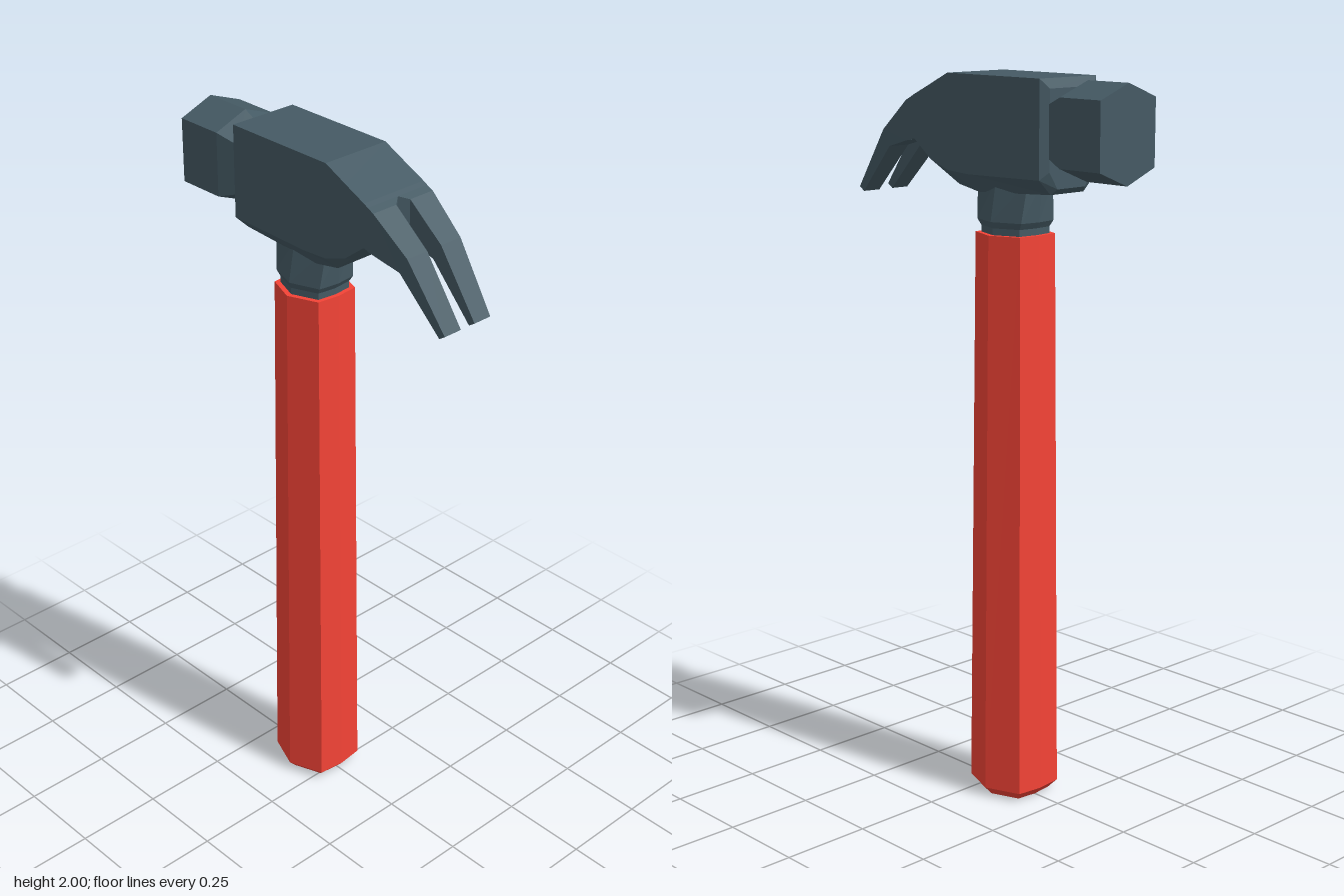
import * as THREE from 'three';

const steel = new THREE.MeshStandardMaterial({ color: 0x455a64, flatShading: true });
const red = new THREE.MeshStandardMaterial({ color: 0xf44336, flatShading: true });

// Skin a row of rings (each counterclockwise about the direction of travel) and cap both ends
function loft(rings) {
  const n = rings[0].length;
  const index = [];
  for (let r = 0; r < rings.length - 1; r++) {
    for (let i = 0; i < n; i++) {
      const a = r * n + i, b = r * n + (i + 1) % n;
      index.push(a, b, b + n, a, b + n, a + n);
    }
  }
  const last = (rings.length - 1) * n;
  for (let i = 1; i < n - 1; i++) {
    index.push(0, i + 1, i, last, last + i, last + i + 1);
  }
  const indexed = new THREE.BufferGeometry();
  indexed.setAttribute('position', new THREE.Float32BufferAttribute(rings.flat(2), 3));
  indexed.setIndex(index);
  const geometry = indexed.toNonIndexed();
  geometry.computeVertexNormals();
  return geometry;
}

// Eight-sided ring at height y, slightly boxy, centred on the handle axis
const AXIS_Z = -0.073;
function gripRing([y, rx, rz]) {
  const unit = [[1, 0], [0.66, -0.92], [0, -1], [-0.66, -0.92], [-1, 0], [-0.66, 0.92], [0, 1], [0.66, 0.92]];
  return unit.map(([x, z]) => [x * rx, y, AXIS_Z + z * rz]);
}

// Six-sided striking-face ring with a ridge above and below
function pollRing([z, w, top, shoulder, lower, bottom]) {
  return [[0, top, z], [-w, shoulder, z], [-w, lower, z], [0, bottom, z], [w, lower, z], [w, shoulder, z]];
}

// Head ring: flat top, straight sides, chamfered belly
function bodyRing([z, w, top, low, bottom, b]) {
  return [[w, top, z], [-w, top, z], [-w, low, z], [-b, bottom, z], [b, bottom, z], [w, low, z]];
}

export function createModel() {
  const model = new THREE.Group();
  const add = (name, geometry, material) => {
    const mesh = new THREE.Mesh(geometry, material);
    mesh.name = name;
    model.add(mesh);
  };

  // Grip with a chamfered butt
  add('handle', loft([
    [0, 0.088, 0.085], [0.025, 0.112, 0.108], [1.585, 0.098, 0.0925],
  ].map(gripRing)), red);

  // Steel collar rising into the head
  add('neck', loft([
    [1.58, 0.083, 0.08], [1.603, 0.083, 0.08], [1.62, 0.09, 0.091], [1.73, 0.07, 0.103],
  ].map(gripRing)), steel);

  // Main block of the head
  add('headBody', loft([
    [-0.28, 0.08, 1.975, 1.765, 1.72, 0.05],
    [-0.265, 0.102, 2.0, 1.745, 1.705, 0.06],
    [0.0, 0.102, 2.0, 1.74, 1.69, 0.06],
    [0.08, 0.102, 2.0, 1.745, 1.705, 0.06],
    [0.15, 0.102, 1.967, 1.77, 1.762, 0.08],
    [0.215, 0.102, 1.937, 1.82, 1.817, 0.095],
    [0.228, 0.102, 1.93, 1.817, 1.815, 0.095],
  ].map(bodyRing)), steel);

  // Striking end
  add('poll', loft([
    [-0.475, 0.1, 1.995, 1.957, 1.78, 1.74],
    [-0.335, 0.1, 1.995, 1.957, 1.78, 1.74],
    [-0.275, 0.08, 1.965, 1.935, 1.8, 1.762],
  ].map(pollRing)), steel);

  // Two curved prongs: [top z, top y, bottom z, bottom y, inner x, outer x]
  const prong = [
    [0.228, 1.93, 0.228, 1.815, 0, 0.102],
    [0.247, 1.921, 0.247, 1.812, 0.024, 0.102],
    [0.355, 1.835, 0.33, 1.79, 0.024, 0.092],
    [0.475, 1.667, 0.457, 1.655, 0.024, 0.08],
  ];
  for (const side of [1, -1]) {
    const rings = prong.map(([tz, ty, bz, by, inner, outer]) => {
      const ring = [[side * outer, ty, tz], [side * inner, ty, tz], [side * inner, by, bz], [side * outer, by, bz]];
      return side > 0 ? ring : ring.reverse();
    });
    add(side > 0 ? 'leftClaw' : 'rightClaw', loft(rings), steel);
  }
  return model;
}
